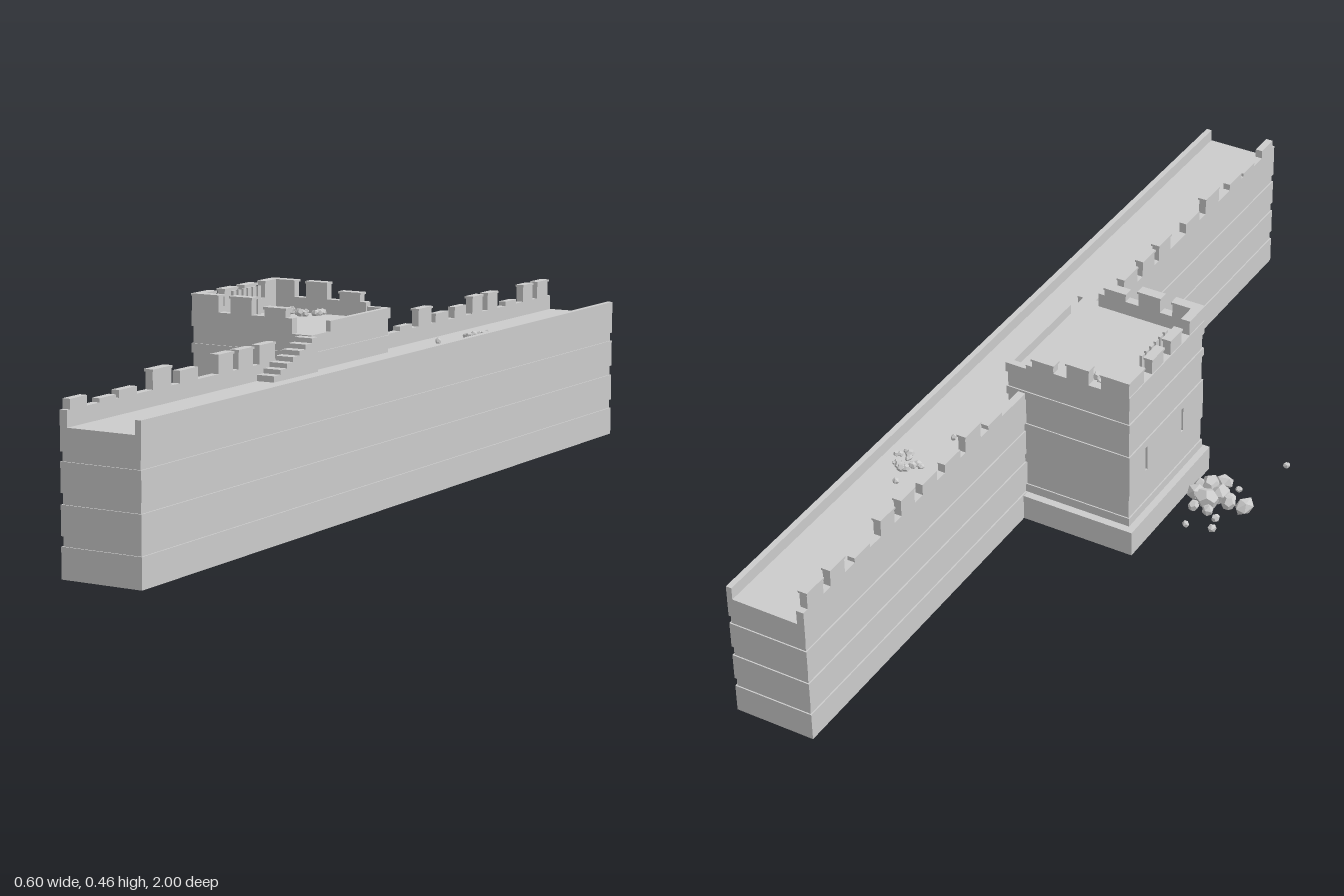
import * as THREE from 'three';

export function createModel() {
  const model = new THREE.Group();
  model.name = 'ruinedWallWithTower';
  const stone = new THREE.MeshStandardMaterial({ color: 0xcccccc, flatShading: true });
  stone.name = 'grey stone';

  let seed = 7;
  const rand = () => (seed = (seed * 16807) % 2147483647) / 2147483647;
  const between = (a, b) => a + (b - a) * rand();

  const group = (name) => {
    const g = new THREE.Group();
    g.name = name;
    model.add(g);
    return g;
  };
  const add = (parent, name, geometry) => {
    const mesh = new THREE.Mesh(geometry, stone);
    mesh.name = name;
    parent.add(mesh);
    return mesh;
  };
  // Box given by its limits on each axis
  const block = (parent, name, x0, x1, y0, y1, z0, z1) =>
    add(parent, name, new THREE.BoxGeometry(x1 - x0, y1 - y0, z1 - z0))
      .position.set((x0 + x1) / 2, (y0 + y1) / 2, (z0 + z1) / 2);
  // Merlon with a thin overhanging cap when it is unbroken
  const merlon = (parent, x0, x1, y0, y1, z0, z1, capped = true) => {
    const capBase = capped ? y1 - 0.005 : y1;
    block(parent, 'merlon', x0, x1, y0, capBase, z0, z1);
    if (capped) block(parent, 'merlonCap', x0 - 0.002, x1 + 0.002, capBase, y1, z0 - 0.002, z1 + 0.002);
  };

  // Courses: wide faces alternating with slightly recessed thin bands
  const levels = [0.022, 0.085, 0.105, 0.165, 0.187, 0.247, 0.266];
  const recess = 0.003;

  // Long wall
  const wall = group('longWall');
  [...levels, 0.312].forEach((y, i, all) => {
    if (i === 0) return;
    const r = i % 2 ? 0 : recess;
    block(wall, r ? 'wallBand' : 'wallCourse', 0.12 + r, 0.302 - r, all[i - 1], y, -1 + r, 1 - r);
  });
  block(wall, 'innerParapet', 0.289, 0.302, 0.312, 0.34, -1, 1);
  block(wall, 'outerParapetBack', 0.12, 0.137, 0.312, 0.345, -1, -0.16);
  block(wall, 'outerParapetFront', 0.12, 0.137, 0.312, 0.345, 0.16, 1);

  // Wall merlons: start z, end z, top
  [
    [0.935, 0.99, 0.365], [0.84, 0.895, 0.353], [0.77, 0.83, 0.36], [0.65, 0.715, 0.385],
    [0.555, 0.62, 0.37], [0.425, 0.48, 0.385], [0.35, 0.405, 0.385], [0.265, 0.325, 0.385],
    [-0.315, -0.26, 0.355], [-0.405, -0.345, 0.385], [-0.485, -0.425, 0.365], [-0.57, -0.515, 0.37],
    [-0.65, -0.6, 0.385], [-0.725, -0.675, 0.385], [-0.82, -0.765, 0.355], [-0.905, -0.855, 0.385],
    [-0.985, -0.93, 0.385],
  ].forEach(([z0, z1, top]) => merlon(wall, 0.12, 0.137, 0.345, top, z0, z1, top > 0.38));

  // Tower body
  const tower = group('tower');
  block(tower, 'plinth', -0.147, 0.125, 0.022, 0.082, -0.18, 0.175);
  [0.082, ...levels.slice(1), 0.33, 0.35, 0.387].forEach((y, i, all) => {
    if (i === 0) return;
    const r = i % 2 ? recess : 0;
    const y0 = all[i - 1];
    const x1 = y0 >= 0.266 ? 0.166 : 0.125;
    if (y0 === 0.187) {
      // Course cut by two arrow slits on the outer face
      const plan = new THREE.Shape();
      plan.moveTo(-0.133, -0.165);
      [-0.07, 0.09].forEach((s) => {
        plan.lineTo(-0.133, s - 0.004);
        plan.lineTo(-0.115, s - 0.004);
        plan.lineTo(-0.115, s + 0.004);
        plan.lineTo(-0.133, s + 0.004);
      });
      plan.lineTo(-0.133, 0.165);
      plan.lineTo(x1, 0.165);
      plan.lineTo(x1, -0.165);
      const g = new THREE.ExtrudeGeometry(plan, { depth: y - y0, bevelEnabled: false });
      add(tower, 'slitCourse', g.rotateX(-Math.PI / 2)).position.y = y0;
    } else {
      block(tower, r ? 'towerBand' : 'towerCourse', -0.133 + r, x1 - r, y0, y, -0.165 + r, 0.165 - r);
    }
  });

  // Tower parapet
  block(tower, 'parapetOuter', -0.133, -0.113, 0.387, 0.42, -0.165, 0.165);
  for (const s of [-1, 1]) {
    const [z0, z1] = s > 0 ? [0.145, 0.165] : [-0.165, -0.145];
    block(tower, 'parapetSide', -0.113, 0.117, 0.387, 0.42, z0, z1);
    // Corner merlon in two arms, then the side merlons
    merlon(tower, -0.131, -0.065, 0.42, 0.457, z0, z1);
    const [c0, c1] = s > 0 ? [0.1, 0.145] : [-0.145, -0.1];
    merlon(tower, -0.131, -0.113, 0.42, 0.457, c0, c1);
    merlon(tower, -0.035, 0.018, 0.42, 0.457, z0, z1);
    merlon(tower, 0.05, 0.102, 0.42, 0.44, z0, z1);
    merlon(tower, -0.131, -0.113, 0.42, 0.457, s * 0.04 - 0.025, s * 0.04 + 0.025);
  }
  block(tower, 'parapetWallSide', 0.155, 0.167, 0.387, 0.41, -0.165, 0.09);
  block(tower, 'parapetReturn', 0.117, 0.155, 0.387, 0.41, -0.165, -0.15);
  // Row of thin upright slabs behind the outer parapet
  for (let i = 0; i < 6; i++) {
    const z = -0.058 + i * 0.02;
    block(tower, 'uprightSlab', -0.103, -0.097, 0.387, 0.452, z, z + 0.013);
  }

  // Steps from the walkway up to the tower
  const steps = group('steps');
  for (let i = 0; i < 7; i++) {
    const z = 0.16 + i * 0.025;
    block(steps, 'step', 0.135, 0.178, 0.312, 0.385 - i * 0.01, z, z + 0.025);
  }

  // Angular stones, uneven but repeatable
  const rock = (parent, x, y, z, r) => {
    const g = rand() > 0.5 ? new THREE.DodecahedronGeometry(r) : new THREE.IcosahedronGeometry(r);
    const mesh = add(parent, 'stoneChunk', g);
    mesh.position.set(x, y, z);
    mesh.scale.set(between(0.75, 1.1), between(0.7, 1), between(0.75, 1.1));
    mesh.rotation.set(between(0, 6), between(0, 6), between(0, 6));
  };

  // Fallen stones beside the tower
  const fallen = group('fallenRubble');
  [
    [-0.282, 0.028, 0.085, 0.024], [-0.245, 0.027, 0.08, 0.017], [-0.215, 0.026, 0.1, 0.026],
    [-0.2, 0.032, 0.065, 0.028], [-0.185, 0.036, 0.11, 0.024], [-0.2, 0.024, 0.145, 0.022],
    [-0.17, 0.036, 0.07, 0.024], [-0.165, 0.03, 0.1, 0.02], [-0.215, 0.022, 0.04, 0.016],
    [-0.235, 0.02, 0.105, 0.016], [-0.18, 0.022, 0.04, 0.014], [-0.112, 0.032, 0.19, 0.023],
    [-0.255, 0.025, -0.015, 0.013], [-0.198, 0.025, -0.03, 0.01], [-0.245, 0.025, 0.02, 0.011],
    [-0.292, 0.022, 0.27, 0.009], [-0.24, 0.022, 0.14, 0.009], [-0.205, 0.014, 0.085, 0.014],
  ].forEach((p) => rock(fallen, ...p));

  // Loose stones on the walkway and the tower floor
  const scatter = (name, x, y, z, w, d, count) => {
    const g = group(name);
    for (let i = 0; i < count; i++) {
      const r = between(0.005, 0.012);
      rock(g, x + between(-w, w) * rand(), y + r * 0.5, z + between(-d, d) * rand(), r);
    }
    return g;
  };
  const path = scatter('walkwayRubble', 0.23, 0.312, -0.465, 0.05, 0.05, 18);
  rock(path, 0.19, 0.317, -0.34, 0.009);
  rock(path, 0.215, 0.316, -0.525, 0.008);
  scatter('towerRubble', -0.025, 0.387, -0.12, 0.05, 0.045, 11);

  return model;
}
